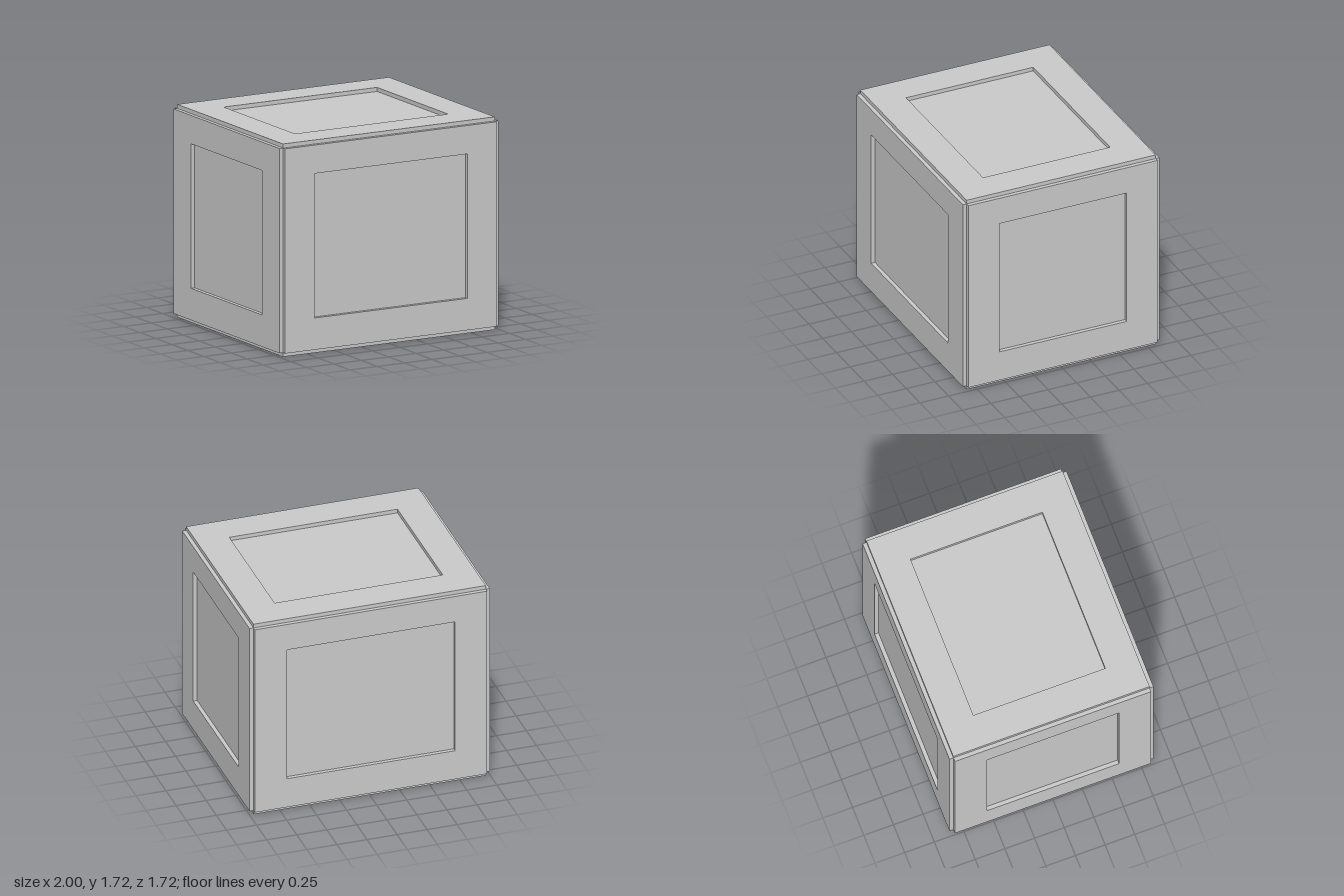
import * as THREE from 'three';

const T = 0.033; // panel thickness
const W = 2, H = 1.72, D = 1.72;
const CY = H / 2;

// Flat rectangular frame with a window, lying in xy and extruded along +z
function frameGeometry(w, h, holeW, holeBottom, holeTop) {
  const rect = (path, x0, y0, x1, y1) =>
    path.moveTo(x0, y0).lineTo(x1, y0).lineTo(x1, y1).lineTo(x0, y1).closePath();
  const shape = rect(new THREE.Shape(), -w / 2, -h / 2, w / 2, h / 2);
  shape.holes.push(rect(new THREE.Path(), -holeW / 2, holeBottom, holeW / 2, holeTop));
  return new THREE.ExtrudeGeometry(shape, { depth: T, bevelEnabled: false });
}

export function createModel() {
  const group = new THREE.Group();
  const material = new THREE.MeshStandardMaterial({ color: 0xcccccc });
  const w = W - 2 * T, h = H - 2 * T, d = D - 2 * T;

  const add = (name, geometry) => {
    const mesh = new THREE.Mesh(geometry, material);
    mesh.name = name;
    mesh.position.y = CY;
    group.add(mesh);
    return mesh;
  };

  // Solid core, seen through the frame windows and in the edge notches
  add('core', new THREE.BoxGeometry(w, h, d));

  // One raised frame per face; the upright windows sit slightly above centre
  const low = 0.29 - CY, high = 1.457 - CY;
  const frontGeo = frameGeometry(w, h, 1.4, low, high);
  const sideGeo = frameGeometry(d, h, 1.114, low, high);
  const topGeo = frameGeometry(w, d, 1.4, -0.555, 0.557);

  add('frontFrame', frontGeo).position.z = d / 2;
  const back = add('backFrame', frontGeo);
  back.rotation.y = Math.PI;
  back.position.z = -d / 2;

  for (const [name, s] of [['leftFrame', 1], ['rightFrame', -1]]) {
    const side = add(name, sideGeo);
    side.rotation.y = s * Math.PI / 2;
    side.position.x = s * w / 2;
  }
  for (const [name, s] of [['topFrame', 1], ['bottomFrame', -1]]) {
    const lid = add(name, topGeo);
    lid.rotation.x = -s * Math.PI / 2;
    lid.position.y = CY + s * h / 2;
  }
  return group;
}
